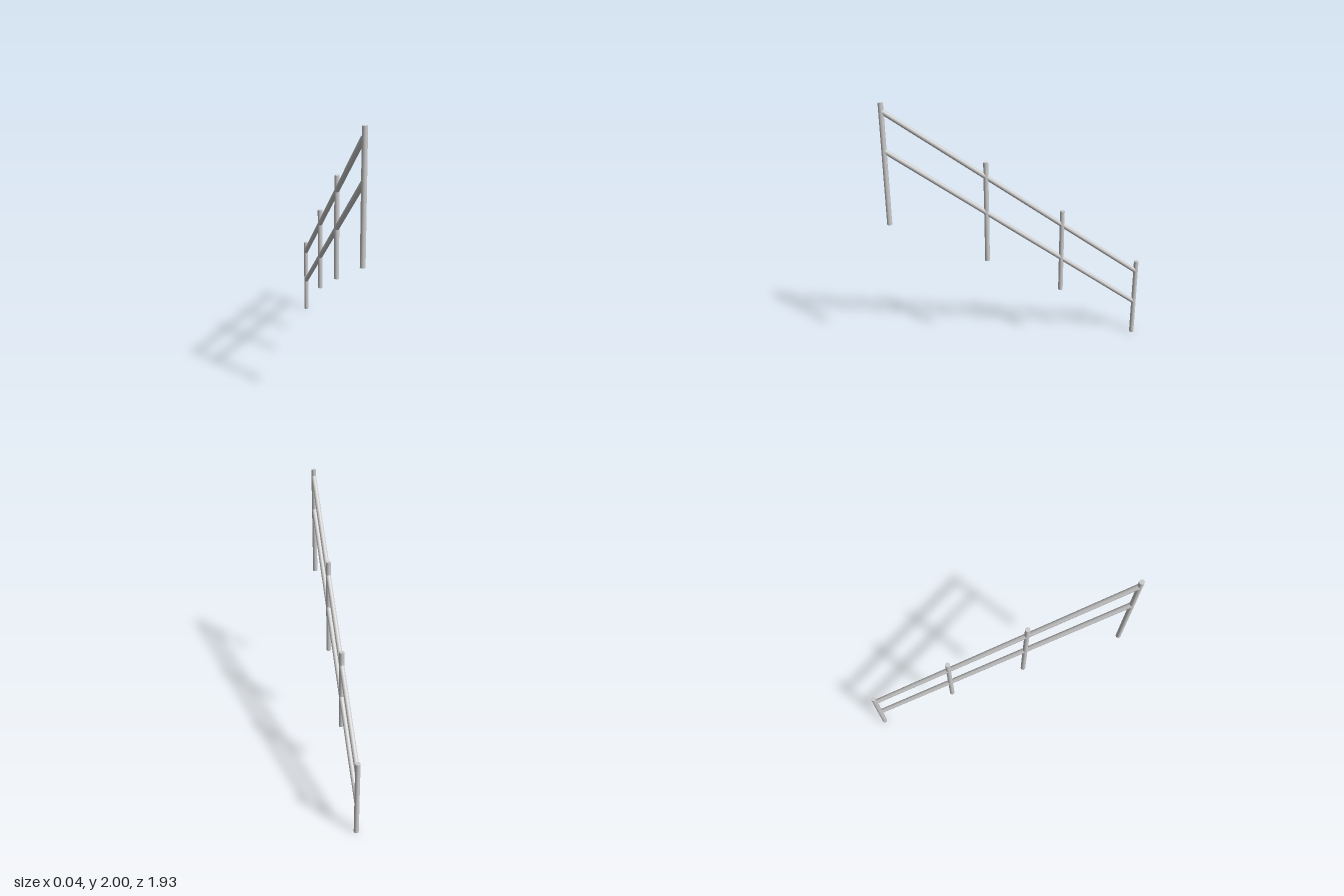
import * as THREE from 'three';

const RADIUS = 0.018;
const SIDES = 32;

// Round tube with closed ends between two points in the x = 0 plane
function tube(name, [y0, z0], [y1, z1], material) {
  const a = new THREE.Vector3(0, y0, z0);
  const b = new THREE.Vector3(0, y1, z1);
  const mesh = new THREE.Mesh(
    new THREE.CylinderGeometry(RADIUS, RADIUS, a.distanceTo(b), SIDES), material);
  mesh.name = name;
  mesh.position.copy(a).add(b).multiplyScalar(0.5);
  mesh.quaternion.setFromUnitVectors(new THREE.Vector3(0, 1, 0), b.sub(a).normalize());
  return mesh;
}

export function createModel() {
  const group = new THREE.Group();
  group.name = 'stairRailing';
  const material = new THREE.MeshStandardMaterial({ color: 0xcccccc });

  // Upright posts: z, bottom, top
  const posts = [
    ['frontPost', 0.945, 1.125, 2],
    ['upperMiddlePost', 0.246, 0.772, 1.538],
    ['lowerMiddlePost', -0.327, 0.463, 1.12],
    ['backPost', -0.945, 0, 0.64],
  ];
  for (const [name, z, bottom, top] of posts) {
    group.add(tube(name, [bottom, z], [top, z], material));
  }

  // Sloping rails, parallel, ending inside the outer posts
  const slope = 0.735, end = 0.942;
  for (const [name, mid] of [['handRail', 1.249], ['lowerRail', 0.975]]) {
    group.add(tube(name, [mid - slope * end, -end], [mid + slope * end, end], material));
  }
  return group;
}
